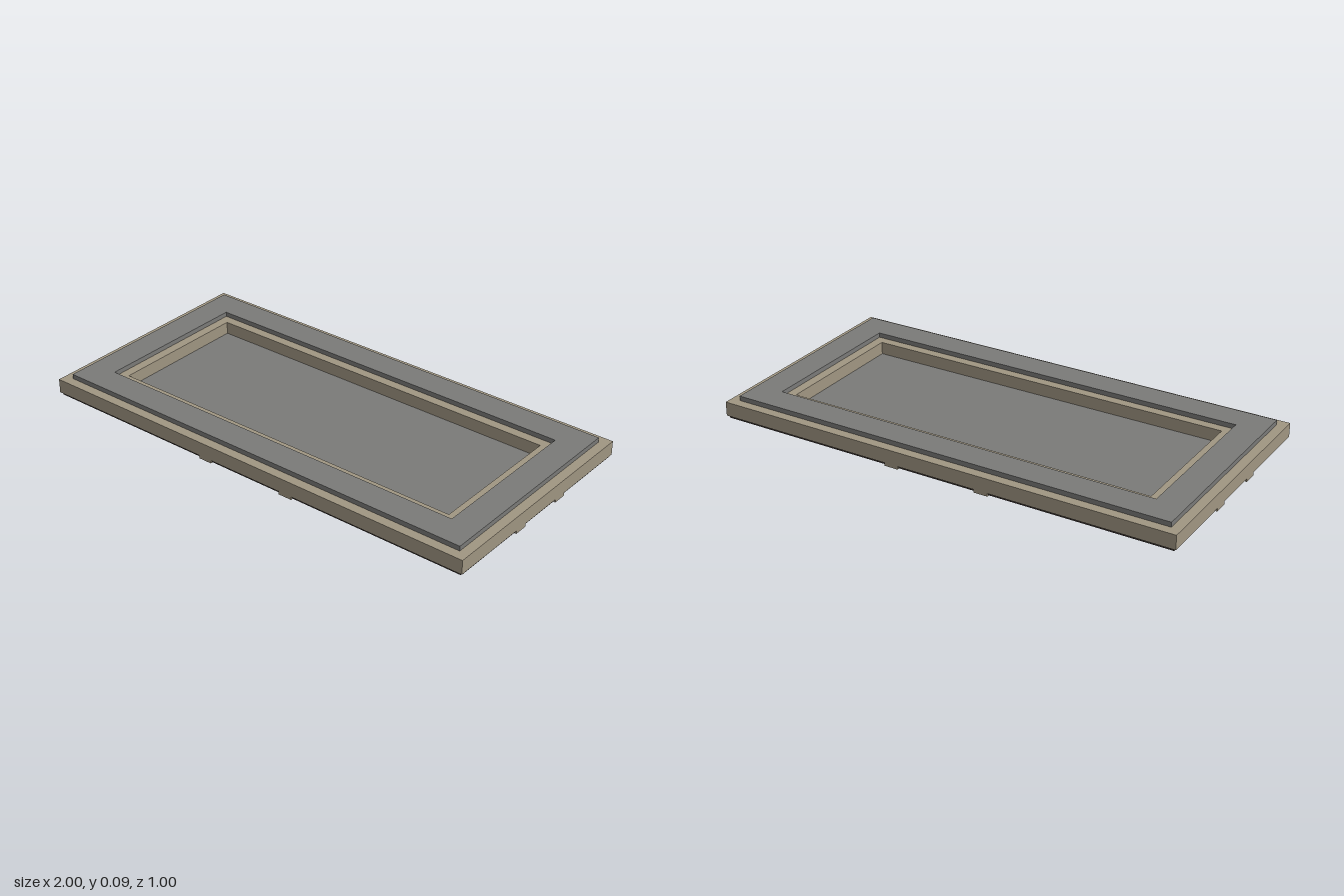
import * as THREE from 'three';

const paint = (name, color) => {
  const m = new THREE.MeshStandardMaterial({ color, side: THREE.DoubleSide });
  m.name = name;
  return m;
};

// Folded sheet running round the rectangle; profile points are [inset from edge, height]
function foldedSheet(profile) {
  const corner = ([inset, y], k) => {
    const [sx, sz] = [[-1, 1], [1, 1], [1, -1], [-1, -1]][k % 4];
    return [sx * (1 - inset), y, sz * (0.5 - inset)];
  };
  const pos = [];
  for (let i = 0; i < profile.length - 1; i++) {
    for (let k = 0; k < 4; k++) {
      const a = corner(profile[i], k), b = corner(profile[i], k + 1);
      const c = corner(profile[i + 1], k + 1), d = corner(profile[i + 1], k);
      pos.push(...a, ...b, ...c, ...a, ...c, ...d);
    }
  }
  const g = new THREE.BufferGeometry();
  g.setAttribute('position', new THREE.Float32BufferAttribute(pos, 3));
  g.computeVertexNormals();
  return g;
}

export function createModel() {
  const group = new THREE.Group();
  const tan = paint('tan', 0xa09682);
  const grey = paint('grey', 0x7a7a78);
  const dark = paint('dark brown', 0x3a3230);

  const add = (name, geometry, material, x = 0, y = 0, z = 0) => {
    const mesh = new THREE.Mesh(geometry, material);
    mesh.name = name;
    mesh.position.set(x, y, z);
    group.add(mesh);
    return mesh;
  };

  const rim = 0.073, top = 0.093, skirt = 0.013, floor = 0.02;

  // Outer skirt with its ledge, raised border, and sunken tray
  add('outerSkirt', foldedSheet([[0, skirt], [0, rim], [0.04, rim]]), tan);
  add('raisedBorder', foldedSheet([[0.04, rim], [0.04, top], [0.16, top], [0.16, rim]]), grey);
  add('trayWall', foldedSheet([[0.16, rim], [0.2, rim], [0.2, floor]]), tan);
  add('trayFloor', new THREE.PlaneGeometry(1.6, 0.6).rotateX(-Math.PI / 2), grey, 0, floor, 0);

  // Feet and dark strips under the four edges
  const foot = 0.06, t = 0.008;
  for (const s of [-1, 1]) {
    for (const f of [-1, 1]) {
      add('longEdgeFoot', new THREE.BoxGeometry(foot, skirt, t), tan, f * 0.2, skirt / 2, s * 0.496);
      add('shortEdgeFoot', new THREE.BoxGeometry(t, skirt, foot), tan, s * 0.996, skirt / 2, f * 0.13);
    }
    for (const [a, b] of [[-0.99, -0.23], [-0.17, 0.17], [0.23, 0.99]]) {
      add('longEdgeStrip', new THREE.BoxGeometry(b - a, 0.01, t), dark, (a + b) / 2, 0.008, s * 0.489);
    }
    for (const [a, b] of [[-0.485, -0.16], [-0.1, 0.1], [0.16, 0.485]]) {
      add('shortEdgeStrip', new THREE.BoxGeometry(t, 0.01, b - a), dark, s * 0.989, 0.008, (a + b) / 2);
    }
  }
  return group;
}
